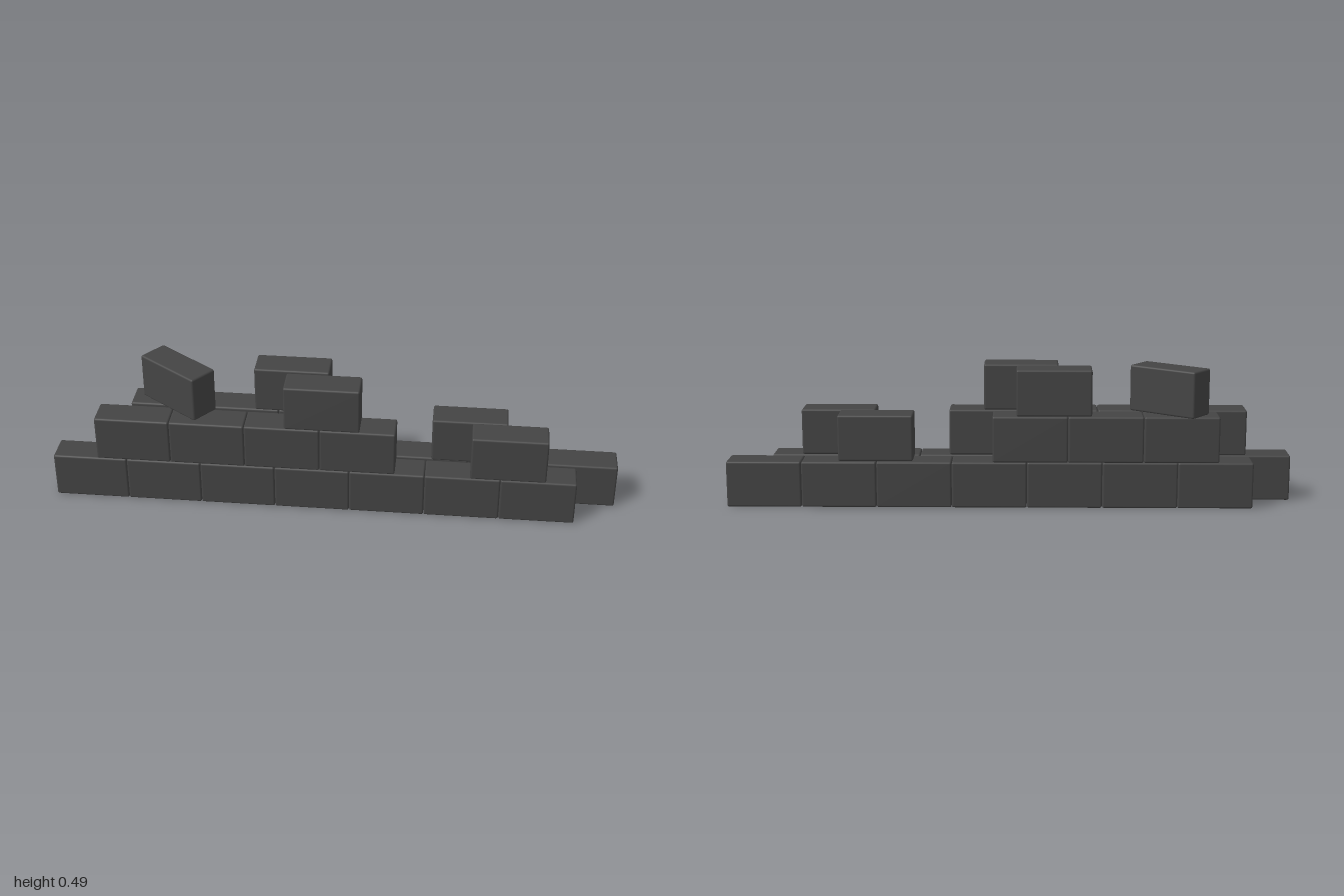
import * as THREE from 'three';
import { RoundedBoxGeometry } from 'three/addons/geometries/RoundedBoxGeometry.js';

const LENGTH = 0.264, HEIGHT = 0.164, DEPTH = 0.108;
const FRONT = 0.076, BACK = -0.043; // z centres of the two rows

export function createModel() {
  const wall = new THREE.Group();
  wall.name = 'brickWall';
  const material = new THREE.MeshStandardMaterial({ color: 0x444444 });
  const geometry = new RoundedBoxGeometry(LENGTH, HEIGHT, DEPTH, 2, 0.007);

  // One brick, placed by its left end, course number and row depth
  function addBrick(name, startX, course, z, turn = 0) {
    const brick = new THREE.Mesh(geometry, material);
    brick.name = name;
    brick.position.set(startX + LENGTH / 2, HEIGHT * (course + 0.5), z);
    brick.rotation.y = turn;
    wall.add(brick);
  }

  // A run of bricks laid end to end
  function addRun(name, startX, course, z, count) {
    for (let i = 0; i < count; i++) addBrick(`${name}${i + 1}`, startX + i * 0.2647, course, z);
  }

  // Bottom course
  addRun('bottomFrontBrick', -1, 0, FRONT, 7);
  addRun('bottomBackBrick', -0.853, 0, BACK, 7);

  // Middle course, with a gap
  addRun('middleFrontBrick', -0.84, 1, FRONT, 4);
  addRun('middleBackBrick', -0.732, 1, -0.046, 3);
  addBrick('middleFrontEndBrick', 0.481, 1, FRONT);
  addBrick('middleBackEndBrick', 0.341, 1, -0.031);

  // Top course, with one loose brick lying across both rows
  addBrick('topFrontBrick', -0.17, 2, FRONT);
  addBrick('topBackBrick', -0.286, 2, BACK);
  addBrick('looseBrick', -0.692, 2, -0.012, -0.64);

  return wall;
}
